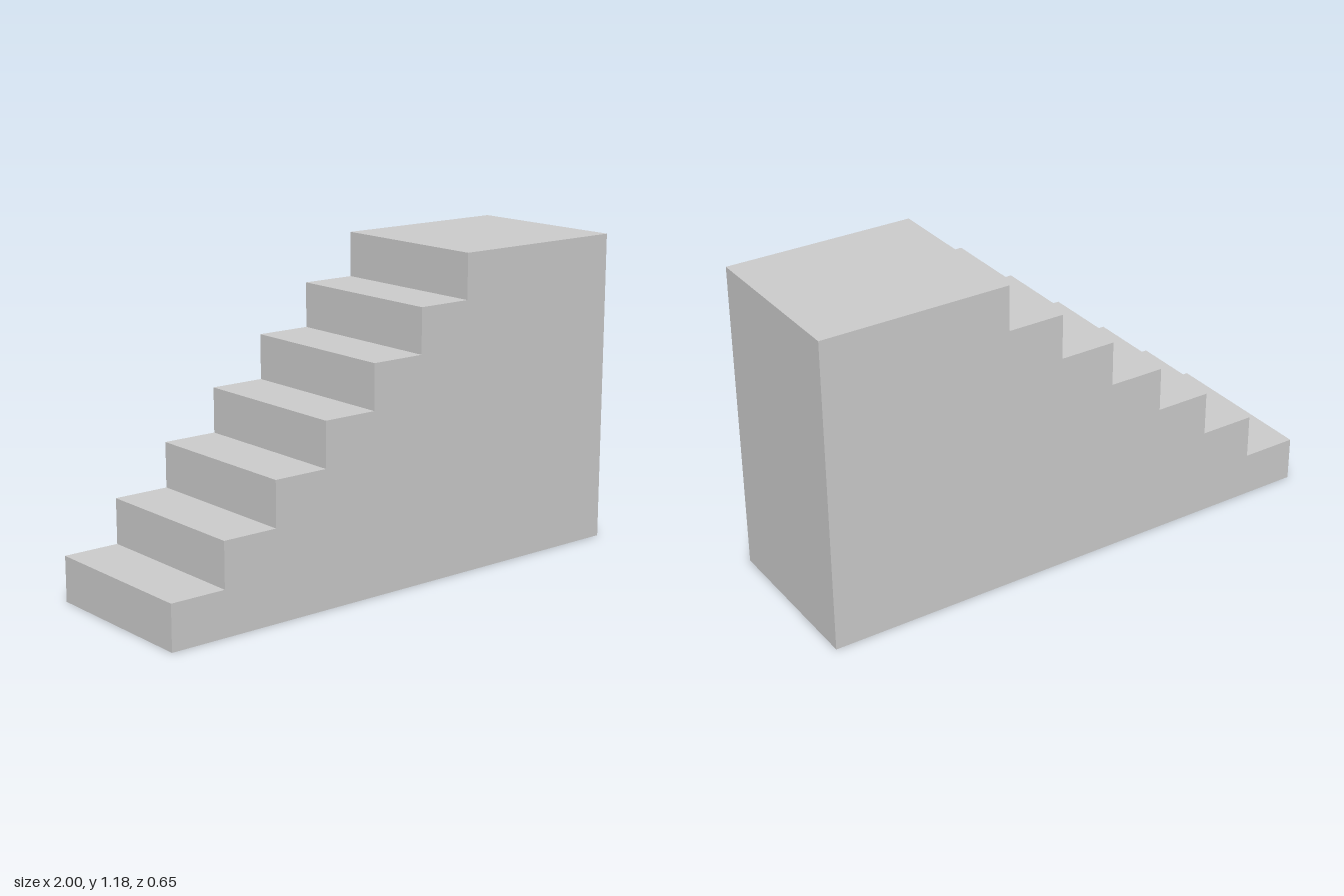
import * as THREE from 'three';

export function createModel() {
  const model = new THREE.Group();
  const steps = 7, run = 0.215, height = 1.18, depth = 0.646;
  const rise = height / steps;

  // Stepped side profile: six treads climbing towards +x, then a long landing
  const profile = new THREE.Shape();
  profile.moveTo(-1, 0);
  profile.lineTo(1, 0);
  profile.lineTo(1, height);
  for (let i = steps - 1; i >= 0; i--) {
    const x = -1 + i * run;
    profile.lineTo(x, (i + 1) * rise);
    if (i > 0) profile.lineTo(x, i * rise);
  }
  profile.closePath();

  // Solid staircase block
  const geometry = new THREE.ExtrudeGeometry(profile, { depth, bevelEnabled: false });
  geometry.translate(0, 0, -depth / 2);
  const staircase = new THREE.Mesh(
    geometry,
    new THREE.MeshStandardMaterial({ color: 0xcccccc, flatShading: true })
  );
  staircase.name = 'staircase';
  model.add(staircase);
  return model;
}
